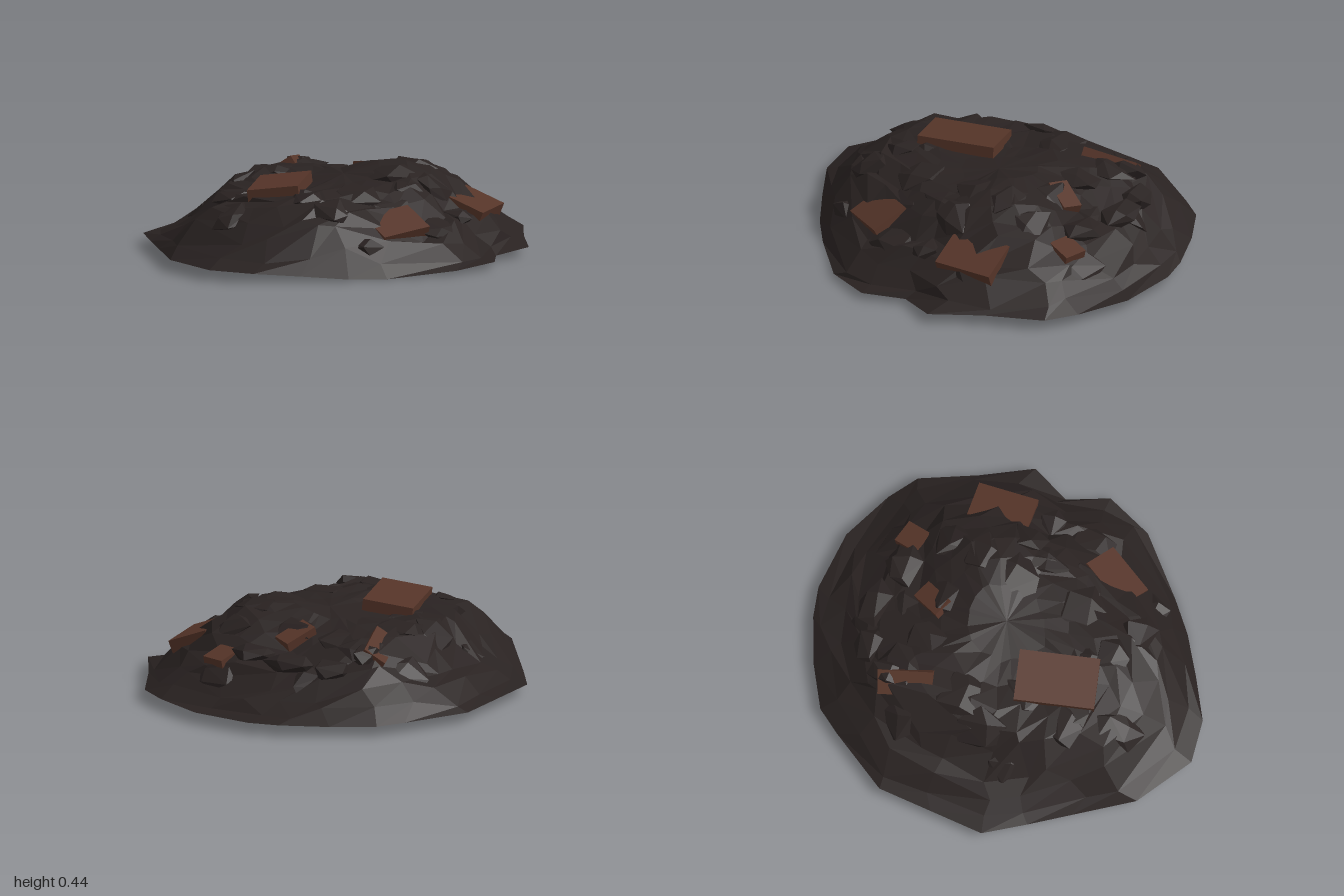
import * as THREE from 'three';
import { ConvexGeometry } from 'three/addons/geometries/ConvexGeometry.js';

// Rim of the mound seen from above, [x, z], clockwise from the back
const RIM = [[-0.02, -1], [0.28, -0.97], [0.53, -0.85], [0.67, -0.75], [0.79, -0.48], [0.92, -0.24],
  [0.83, -0.05], [0.91, 0.15], [0.81, 0.38], [0.55, 0.62], [0.4, 0.74], [0.2, 0.86], [0, 0.97],
  [-0.22, 0.995], [-0.5, 0.82], [-0.68, 0.55], [-0.8, 0.37], [-0.92, 0.18], [-0.9, -0.09], [-0.88, -0.36],
  [-0.69, -0.65], [-0.6, -0.77], [-0.4, -0.88], [-0.17, -0.97]];
const CENTRE = [0.03, -0.05];

// Height limits across x and along z
const ACROSS = [[-0.92, 0.06], [-0.8, 0.16], [-0.7, 0.19], [-0.6, 0.24], [-0.53, 0.34], [-0.42, 0.385],
  [-0.25, 0.36], [-0.04, 0.38], [0.02, 0.41], [0.2, 0.44], [0.36, 0.43], [0.5, 0.36], [0.55, 0.28],
  [0.68, 0.23], [0.77, 0.18], [0.83, 0.1], [0.92, 0.05]];
const ALONG = [[-1, 0.05], [-0.92, 0.11], [-0.82, 0.18], [-0.7, 0.26], [-0.6, 0.31], [-0.4, 0.41],
  [-0.18, 0.44], [-0.08, 0.4], [0, 0.37], [0.4, 0.375], [0.6, 0.36], [0.7, 0.31], [0.8, 0.25],
  [0.87, 0.15], [1, 0.05]];

function seeded(seed) {
  return () => {
    seed = (seed * 16807) % 2147483647;
    return seed / 2147483647;
  };
}

function lookup(table, v) {
  for (let i = 1; i < table.length; i++) {
    const [a, ya] = table[i - 1], [b, yb] = table[i];
    if (v <= b) return THREE.MathUtils.lerp(ya, yb, THREE.MathUtils.clamp((v - a) / (b - a), 0, 1));
  }
  return table[table.length - 1][1];
}

const bump = (x, z, cx, cz, r) => Math.exp(-((x - cx) ** 2 + (z - cz) ** 2) / (r * r));

// The rim sags towards the front left corner and in the notch on the left side
const rimHeight = (x, z) => 0.055 - 0.054 * bump(x, z, 0.55, 0.62, 0.5) - 0.02 * bump(x, z, 0.83, -0.05, 0.2);

function height(x, z, t) {
  const base = rimHeight(x, z);
  const f = lookup(ACROSS, x), g = lookup(ALONG, z);
  const top = Math.min(f, g) * Math.sqrt(Math.max(f, g) / 0.44)
    - 0.12 * bump(x, z, 0.46, 0.4, 0.2) - 0.04 * bump(x, z, 0.35, -0.7, 0.2)
    - 0.06 * bump(x, z, 0.02, -0.5, 0.18) - 0.03 * bump(x, z, -0.5, 0.45, 0.25);
  return base + Math.max(top - base, 0) * (1 - t ** 8);
}

// Point on the surface, on spoke i (plus a fraction k of the next one) at distance t
function surfacePoint(i, k, t) {
  const n = RIM.length, p = RIM[(i + n) % n], q = RIM[(i + 1 + n) % n];
  const x = THREE.MathUtils.lerp(CENTRE[0], p[0] + (q[0] - p[0]) * k, t);
  const z = THREE.MathUtils.lerp(CENTRE[1], p[1] + (q[1] - p[1]) * k, t);
  return new THREE.Vector3(x, height(x, z, t), z);
}

// Open crumpled shell made of rings between the centre and the rim
function moundGeometry() {
  const rand = seeded(4127);
  const rings = [0, 0.2, 0.34, 0.46, 0.57, 0.67, 0.76, 0.85, 0.94, 1];
  const n = RIM.length, pos = [], index = [];
  rings.forEach((ring, r) => {
    for (let i = 0; i < n; i++) {
      const loose = ring < 1 ? Math.min(1, ring * 1.6) : 0;
      const s = loose * (rand() - 0.5) * 0.7;
      const t = ring + loose * (rand() - 0.5) * 0.06;
      const p = surfacePoint(s < 0 ? i - 1 : i, s < 0 ? 1 + s : s, t);
      pos.push(p.x, p.y + loose * (rand() - 0.55) * 0.035, p.z);
    }
  });
  for (let r = 0; r < rings.length - 1; r++) {
    for (let i = 0; i < n; i++) {
      const a = r * n + i, b = r * n + (i + 1) % n, c = a + n, d = b + n;
      if (r > 0) index.push(a, b, d);
      index.push(a, d, c);
    }
  }
  const geo = new THREE.BufferGeometry();
  geo.setAttribute('position', new THREE.Float32BufferAttribute(pos, 3));
  geo.setIndex(index);
  geo.computeVertexNormals();
  return geo;
}

// Angular lump: convex hull of points scattered on a ball
function lumpGeometry(rand) {
  const pts = [];
  for (let i = 0; i < 12; i++) {
    const y = 1 - 2 * (i + 0.5) / 12, a = i * 2.4 + rand() * 0.8, r = Math.sqrt(1 - y * y);
    pts.push(new THREE.Vector3(r * Math.cos(a), y, r * Math.sin(a)).multiplyScalar(0.75 + rand() * 0.3));
  }
  return new ConvexGeometry(pts);
}

export function createModel() {
  const group = new THREE.Group();
  const earth = new THREE.MeshStandardMaterial({ color: 0x292221, flatShading: true, side: THREE.DoubleSide });
  const brick = new THREE.MeshStandardMaterial({ color: 0x553428, flatShading: true });
  const rand = seeded(911);

  const mound = new THREE.Mesh(moundGeometry(), earth);
  mound.name = 'mound';
  group.add(mound);

  function addLump(name, position, scale) {
    const lump = new THREE.Mesh(lumpGeometry(rand), earth);
    lump.name = name;
    lump.position.copy(position);
    lump.scale.set(...scale);
    group.add(lump);
    return lump;
  }

  // Broad flat clods lying along the slope
  const up = new THREE.Vector3(0, 1, 0);
  for (let i = 0; i < RIM.length; i++) {
    const t = [0.42, 0.74, 0.58][i % 3] + (rand() - 0.5) * 0.08;
    const inner = surfacePoint(i, 0.5, t - 0.08), outer = surfacePoint(i, 0.5, t + 0.08);
    const run = outer.sub(inner);
    const normal = new THREE.Vector3(-run.x * run.y, run.x ** 2 + run.z ** 2, -run.z * run.y).normalize();
    const spot = surfacePoint(i, 0.5, t).addScaledVector(normal, -0.025);
    addLump(`clod${i + 1}`, spot, [0.1 + rand() * 0.06, 0.045, 0.1 + rand() * 0.06])
      .quaternion.setFromUnitVectors(up, normal);
  }

  // Lumps standing out of the mound: position, then half sizes
  const lumps = [
    [-0.08, 0.275, -0.69, 0.15, 0.06, 0.09], [-0.28, 0.25, -0.64, 0.12, 0.06, 0.1],
    [-0.4, 0.31, -0.5, 0.08, 0.06, 0.12], [0.62, 0.2, -0.04, 0.12, 0.05, 0.08],
    [0.4, 0.13, 0.56, 0.12, 0.06, 0.1], [0.15, 0.28, -0.62, 0.14, 0.05, 0.1],
    [0.24, 0.36, -0.16, 0.22, 0.075, 0.22],
  ];
  lumps.forEach(([x, y, z, ...scale], i) => addLump(`lump${i + 1}`, new THREE.Vector3(x, y, z), scale));

  // Bricks: position, size, then pitch, yaw and roll
  const bricks = [
    [[-0.16, 0.348, 0.28], [0.25, 0.065, 0.39], [0.02, 0.24, 0.12]],
    [[0.47, 0.21, 0.34], [0.19, 0.06, 0.27], [0.1, -0.53, -0.45]],
    [[0.6, 0.22, -0.29], [0.21, 0.07, 0.3], [0, 0.06, -0.38]],
    [[0.31, 0.235, -0.635], [0.12, 0.06, 0.13], [-0.25, -0.27, 0]],
    [[0.02, 0.325, -0.42], [0.1, 0.06, 0.17], [-0.35, -0.5, 0.15]],
    [[-0.41, 0.315, -0.4], [0.12, 0.07, 0.27], [-0.15, 0.25, 0.6]],
  ];
  bricks.forEach(([p, s, [pitch, yaw, roll]], i) => {
    const mesh = new THREE.Mesh(new THREE.BoxGeometry(...s), brick);
    mesh.name = `brick${i + 1}`;
    mesh.position.set(...p);
    mesh.rotation.set(pitch, yaw, roll, 'YXZ');
    group.add(mesh);
  });
  return group;
}
